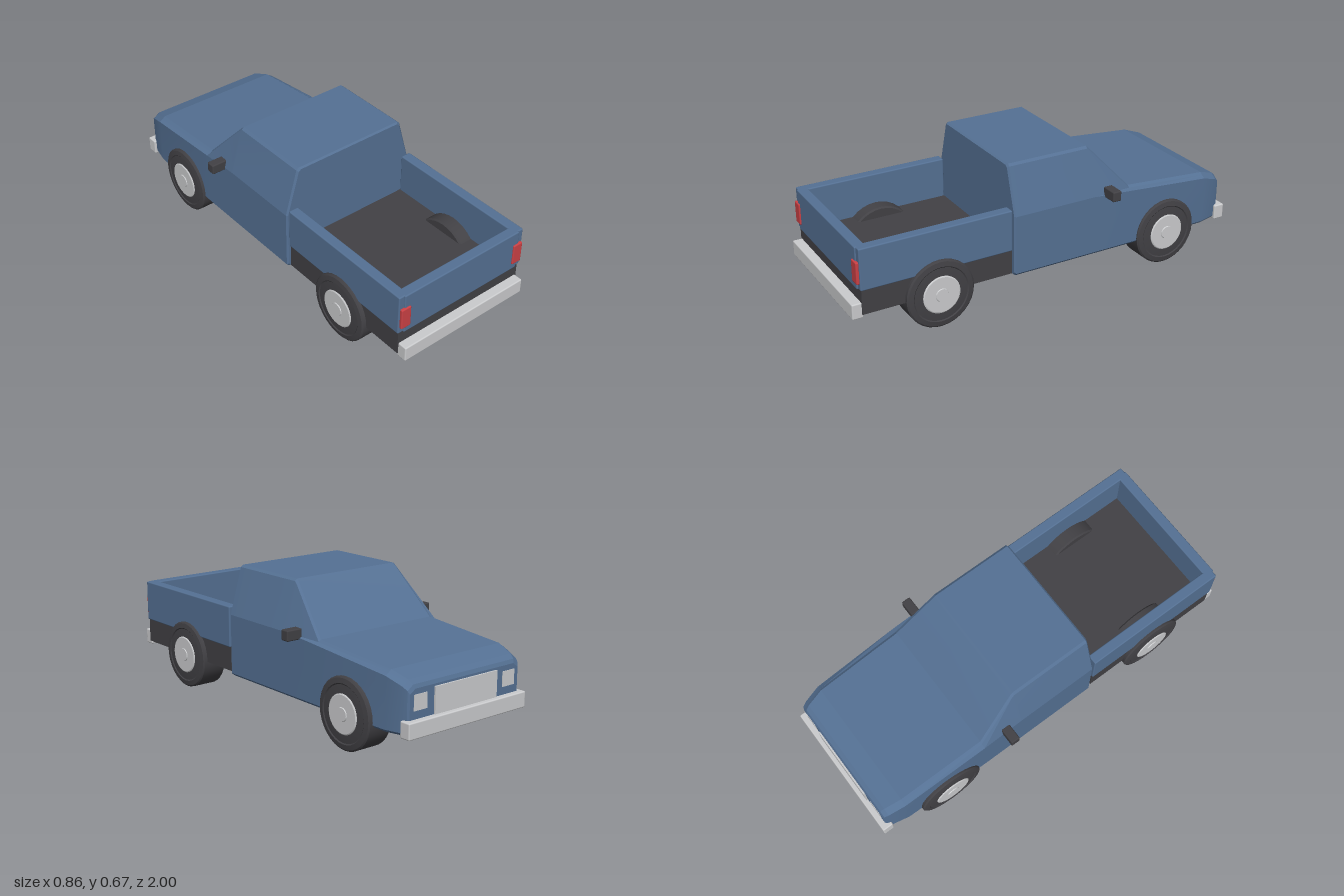
import * as THREE from 'three';
import { toCreasedNormals } from 'three/addons/utils/BufferGeometryUtils.js';
import { RoundedBoxGeometry } from 'three/addons/geometries/RoundedBoxGeometry.js';

const paint = (name, color) => {
  const m = new THREE.MeshStandardMaterial({ color });
  m.name = name;
  return m;
};

// Closed hull through equal-length rings, ordered from +z to -z
function loft(rings) {
  const n = rings[0].length, pos = [], idx = [];
  rings.forEach(r => r.forEach(p => pos.push(...p)));
  for (let i = 0; i < rings.length - 1; i++) {
    for (let j = 0; j < n; j++) {
      const a = i * n + j, b = i * n + (j + 1) % n;
      idx.push(a, a + n, b + n, a, b + n, b);
    }
  }
  const e = (rings.length - 1) * n;
  for (let j = 1; j < n - 1; j++) idx.push(0, j, j + 1, e, e + j + 1, e + j);
  const g = new THREE.BufferGeometry();
  g.setAttribute('position', new THREE.Float32BufferAttribute(pos, 3));
  g.setIndex(idx);
  return toCreasedNormals(g, 0.2);
}

// Mirrored body section: sill, waist and top edge
function section([z, sill, waist, waistY, top, topY]) {
  const half = [
    [waist - 0.012, sill], [waist, sill + 0.012], [waist, waistY],
    [top, topY - 0.01], [top - 0.012, topY],
  ];
  return [
    ...half.map(([x, y]) => [x, y, z]),
    ...half.reverse().map(([x, y]) => [-x, y, z]),
  ];
}

export function createModel() {
  const blue = paint('body blue', 0x557194);
  const black = paint('rubber black', 0x424145);
  const silver = paint('light metal', 0xcbccce);
  const red = paint('lamp red', 0xcb4145);

  const truck = new THREE.Group();
  truck.name = 'pickupTruck';

  const add = (name, geo, mat) => {
    const m = new THREE.Mesh(geo, mat);
    m.name = name;
    truck.add(m);
    return m;
  };
  // Box given by its extents on each axis
  const box = (name, mat, [x0, x1], [y0, y1], [z0, z1], r = 0.006) => {
    const size = [x1 - x0, y1 - y0, z1 - z0];
    const geo = r ? new RoundedBoxGeometry(...size, 2, r) : new THREE.BoxGeometry(...size);
    add(name, geo, mat).position.set((x0 + x1) / 2, (y0 + y1) / 2, (z0 + z1) / 2);
  };

  // Cab and hood: z, sill y, waist half width, waist y, top half width, top y
  const stations = [
    [0.212, 0.148, 0.358, 0.44, 0.294, 0.664],
    [0.204, 0.142, 0.365, 0.44, 0.302, 0.671],
    [-0.205, 0.142, 0.365, 0.44, 0.302, 0.671],
    [-0.218, 0.142, 0.365, 0.44, 0.303, 0.66],
    [-0.42, 0.142, 0.365, 0.425, 0.342, 0.442],
    [-0.86, 0.142, 0.355, 0.385, 0.335, 0.407],
    [-0.945, 0.145, 0.338, 0.355, 0.318, 0.379],
    [-0.965, 0.16, 0.33, 0.34, 0.312, 0.362],
    [-0.972, 0.19, 0.322, 0.325, 0.305, 0.345],
  ];
  add('cabAndHood', loft(stations.map(section)), blue);

  // Cargo bed
  box('bedChassis', black, [-0.355, 0.355], [0.158, 0.28], [0.223, 0.955], 0);
  box('tailgate', blue, [-0.334, 0.334], [0.273, 0.475], [0.915, 0.966]);

  // Bumpers and grille
  box('rearBumper', silver, [-0.35, 0.35], [0.14, 0.214], [0.948, 1]);
  box('frontBumper', silver, [-0.35, 0.35], [0.14, 0.214], [-1, -0.945]);
  box('grille', silver, [-0.185, 0.185], [0.215, 0.335], [-0.98, -0.971], 0);

  // Wheel profiles as [radius, distance outward]
  const lathe = pts => toCreasedNormals(
    new THREE.LatheGeometry(pts.map(p => new THREE.Vector2(...p)), 32), 0.4);
  const tyre = lathe([[0, -0.067], [0.158, -0.067], [0.165, -0.06], [0.165, 0.058],
    [0.158, 0.064], [0.135, 0.068], [0.13, 0.064], [0.09, 0.068], [0, 0.068]]);
  const hub = lathe([[0.091, 0.06], [0.091, 0.07], [0.086, 0.073], [0.032, 0.073],
    [0.03, 0.077], [0, 0.077]]);

  for (const s of [1, -1]) {
    const side = s > 0 ? 'left' : 'right';
    const span = (a, b) => (s > 0 ? [a, b] : [-b, -a]);
    box(side + 'BedWall', blue, span(0.311, 0.362), [0.275, 0.475], [0.222, 0.96]);
    box(side + 'TailLight', red, span(0.302, 0.355), [0.305, 0.411], [0.955, 0.973]);
    box(side + 'Headlight', silver, span(0.225, 0.3), [0.25, 0.32], [-0.974, -0.967], 0);
    box(side + 'Mirror', black, span(0.35, 0.432), [0.425, 0.475], [-0.315, -0.27]);
    for (const [end, z] of [['Front', -0.625], ['Rear', 0.59]]) {
      const wheel = new THREE.Group();
      wheel.name = side + end + 'Wheel';
      const t = new THREE.Mesh(tyre, black), h = new THREE.Mesh(hub, silver);
      t.name = 'tyre';
      h.name = 'hub';
      wheel.add(t, h);
      wheel.rotation.z = -s * Math.PI / 2;
      wheel.position.set(s * 0.311, 0.165, z);
      truck.add(wheel);
    }
  }
  return truck;
}
